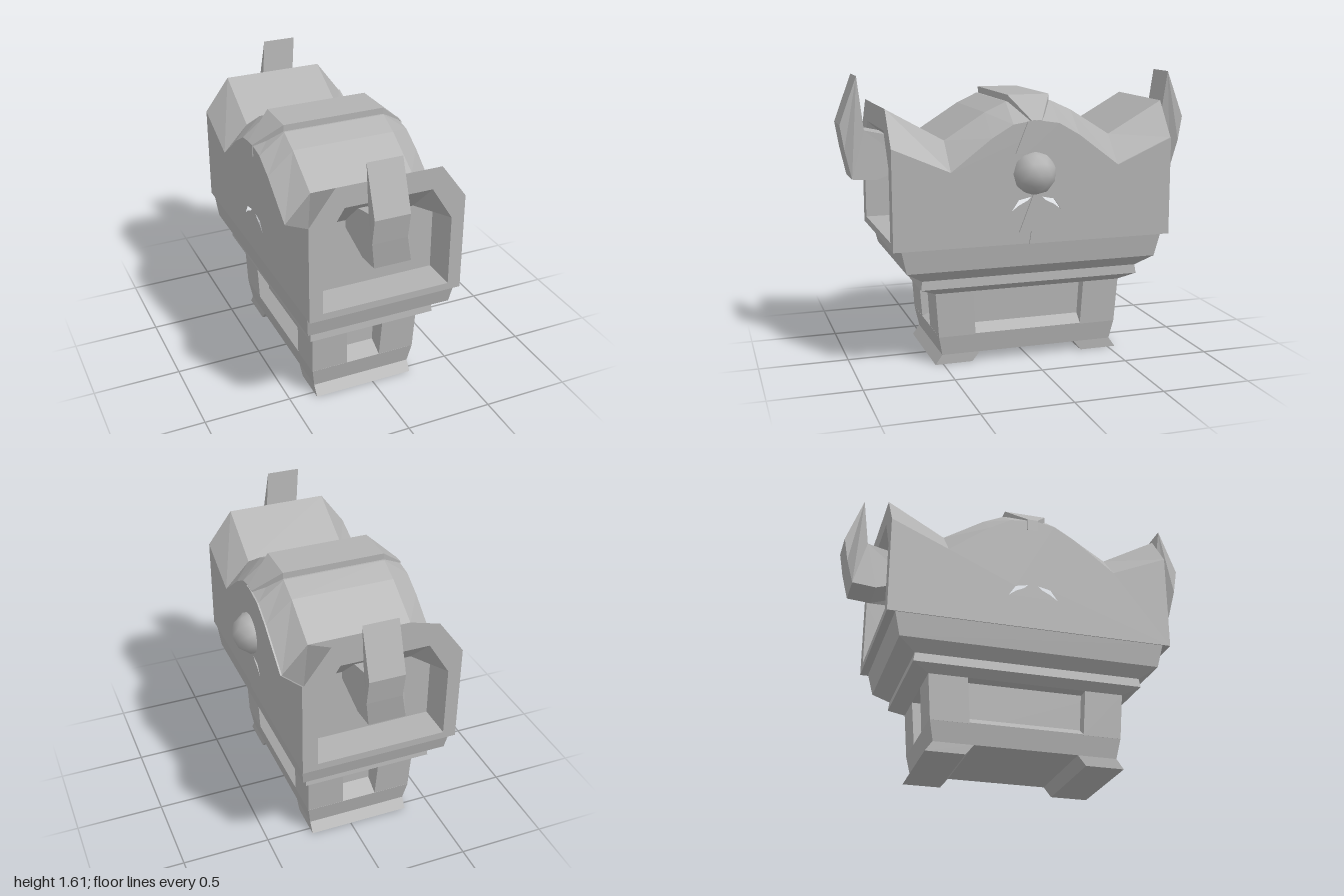
import * as THREE from 'three';

const stone = new THREE.MeshStandardMaterial({ color: 0xb2b2b2 });
stone.name = 'grey stone';

// Flat-shaded skin over successive rings of [x, y, z] points
function loft(rings, { closed = true, start = true, end = true } = {}) {
  const pos = [];
  const tri = (a, b, c) => pos.push(...a, ...b, ...c);
  const n = rings[0].length;
  for (let r = 0; r < rings.length - 1; r++) {
    const A = rings[r], B = rings[r + 1];
    for (let i = 0; i < (closed ? n : n - 1); i++) {
      const j = (i + 1) % n;
      tri(A[i], A[j], B[j]);
      tri(A[i], B[j], B[i]);
    }
  }
  const first = rings[0], last = rings[rings.length - 1];
  for (let i = 1; i < n - 1; i++) {
    if (start) tri(first[0], first[i + 1], first[i]);
    if (end) tri(last[0], last[i], last[i + 1]);
  }
  const g = new THREE.BufferGeometry();
  g.setAttribute('position', new THREE.Float32BufferAttribute(pos, 3));
  g.computeVertexNormals();
  return g;
}

// Rectangular ring at height y
const rect = (hx, y, hz) => [[hx, y, hz], [hx, y, -hz], [-hx, y, -hz], [-hx, y, hz]];

// Solid spanning x, from points [z, y, xMin, xMax]
const slab = (pts) => loft([pts.map(([z, y, a]) => [a, y, z]), pts.map(([z, y, , b]) => [b, y, z])]);

const shapeOf = (pts) => new THREE.Shape(pts.map(([x, y]) => new THREE.Vector2(x, y)));
const pathOf = (pts) => new THREE.Path(pts.map(([x, y]) => new THREE.Vector2(x, y)));

function add(parent, name, geometry) {
  const m = new THREE.Mesh(geometry, stone);
  m.name = name;
  parent.add(m);
  return m;
}

export function createModel() {
  const model = new THREE.Group();
  model.name = 'carvedStoneChest';
  model.position.x = -0.055;
  const W = 0.44, TOP = 0.295, L = 0.8, FLOOR = 0.7;

  // Roof: [z, ridge height, eave height], mirrored front to back
  const half = [[0.8, 1.45, 1.255], [0.48, 1.27, 1.115], [0.25, 1.415, 1.29], [0.13, 1.47, 1.36]];
  const roof = [...half.map(([z, t, e]) => [-z, t, e]), [0, 1.475, 1.38], ...half.slice().reverse()];
  add(model, 'roof', loft(
    roof.map(([z, t, e]) => [[W, e, z], [TOP, t, z], [-TOP, t, z], [-W, e, z]]),
    { closed: false, start: false, end: false }));

  // Side walls with two curved leaf slots
  const leaf = [[0.03, 0.96], [0.1, 0.945], [0.14, 0.885], [0.1, 0.915], [0.05, 0.94]];
  const leafMirror = leaf.map(([u, v]) => [-u, v]);
  const eaves = roof.map(([z, , e]) => [z, e]);
  for (const s of [1, -1]) {
    const wall = shapeOf([[-L, FLOOR], [L, FLOOR], ...eaves.slice().reverse()]);
    wall.holes.push(pathOf(leaf), pathOf(leafMirror));
    const g = new THREE.ShapeGeometry(wall).rotateY(s * Math.PI / 2).translate(s * W, 0, 0);
    add(model, s > 0 ? 'leftWall' : 'rightWall', g);
  }

  // Raised rear half of the left wall, bounded by a jagged crack
  const crack = [[-0.05, 1.375], [-0.12, 1.2], [-0.06, 1.2], [-0.02, 1.1], [-0.02, 0.97],
    [-0.1, 0.765], [-0.03, 0.77], [-0.04, FLOOR]];
  const raised = shapeOf([...crack, [L, FLOOR], ...eaves.filter(([u]) => u >= 0).reverse()]);
  raised.holes.push(pathOf(leaf));
  add(model, 'crackedWallPlate',
    new THREE.ExtrudeGeometry(raised, { depth: 0.009, bevelEnabled: false })
      .rotateY(Math.PI / 2).translate(W, 0, 0));

  // Band over the ridge, narrowing at both sides
  add(model, 'ridgeBand', loft([[-0.445, 0.03, 1.38], [-TOP, 0.12, 1.507], [TOP, 0.12, 1.507], [0.445, 0.03, 1.38]]
    .map(([x, z, y]) => [[x, y, z], [x, y - 0.07, z], [x, y - 0.07, -z], [x, y, -z]])));

  // Faceted ball on the left wall
  add(model, 'ballOrnament', new THREE.IcosahedronGeometry(0.123, 1)).position.set(0.432, 1.09, 0.01);

  // Ends: framed recess with a horn-shaped handle, repeated by a half turn
  for (const [name, turn] of [['front', 0], ['back', Math.PI]]) {
    const end = new THREE.Group();
    end.name = name + 'End';
    end.rotation.y = turn;
    model.add(end);
    const opening = [[-0.365, 0.74], [0.365, 0.74], [0.365, 1.14], [0.245, 1.33], [-0.245, 1.33], [-0.365, 1.14]];
    const frame = shapeOf([[-W, FLOOR], [W, FLOOR], [W, 1.255], [TOP, 1.45], [-TOP, 1.45], [-W, 1.255]]);
    frame.holes.push(pathOf(opening));
    add(end, 'endFrame', new THREE.ShapeGeometry(frame).translate(0, 0, L));
    add(end, 'endRecess', loft([
      opening.map(([x, y]) => [x, y, L]),
      opening.map(([x, y]) => [x, Math.min(y, 1.14), 0.6]),
    ], { start: false }));
    add(end, 'handleHorn', slab([[0.9, 1.607, -0.18, 0.015], [1, 1.34, -0.18, 0.015],
      [0.977, 1.2, -0.18, 0.015], [0.945, 1.04, -0.15, 0.055], [0.87, 1.31, -0.15, 0.045]]));
    add(end, 'handleMount', slab([[0.87, 1.31, -0.15, 0.045], [0.945, 1.04, -0.15, 0.055],
      [0.81, 1.03, -0.15, 0.05], [0.6, 1.1, -0.15, 0.04], [0.6, 1.25, -0.15, 0.04], [0.82, 1.3, -0.15, 0.04]]));
  }

  // Stepped moulding below the chest
  add(model, 'moulding', loft([rect(0.32, 0.42, 0.545), rect(0.37, 0.46, 0.637), rect(0.365, 0.51, 0.63),
    rect(0.42, 0.57, 0.725), rect(0.435, FLOOR, 0.755), rect(W, FLOOR, L)], { end: false }));

  // Pedestal: recessed core, sloping sills, corner posts
  add(model, 'pedestalCore', loft([rect(0.25, 0.1, 0.43), rect(0.25, 0.42, 0.43)]));
  add(model, 'pedestalSlab', loft([rect(0.295, 0.055, 0.505), rect(0.313, 0.17, 0.528), rect(0.25, 0.215, 0.43)]));
  for (const sx of [1, -1]) for (const sz of [1, -1]) {
    const post = (y, x0, x1, z0, z1) => {
      const p = [[x1, y, z1], [x1, y, z0], [x0, y, z0], [x0, y, z1]].map(([x, h, z]) => [sx * x, h, sz * z]);
      return sx * sz > 0 ? p : p.reverse();
    };
    add(model, 'cornerPost', loft([post(0.165, 0.1, 0.313, 0.315, 0.527), post(0.42, 0.11, 0.32, 0.33, 0.545)]));
  }

  // Flared feet across both ends
  for (const s of [1, -1]) {
    const pts = [[0.505, 0.056], [0.545, 0], [0.33, 0], [0.285, 0.056]].map(([z, y]) => [s * z, y, -0.295, 0.295]);
    add(model, s > 0 ? 'frontFoot' : 'backFoot', slab(s > 0 ? pts : pts.reverse()));
  }

  const root = new THREE.Group();
  root.name = 'model';
  root.add(model);
  return root;
}
